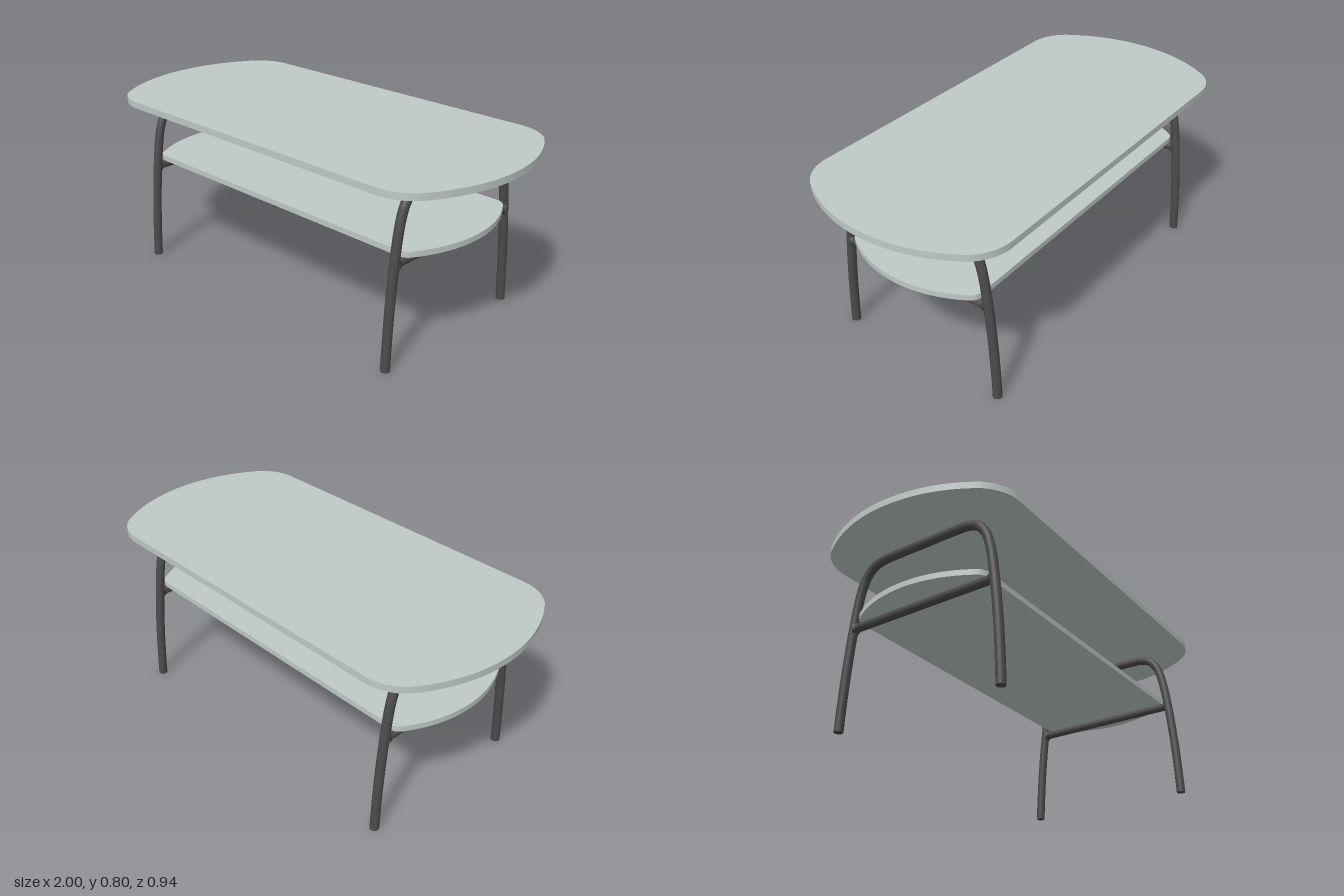
import * as THREE from 'three';
import { toCreasedNormals } from 'three/addons/utils/BufferGeometryUtils.js';

const boardMat = new THREE.MeshStandardMaterial({ color: 0xbec9c5 });
boardMat.name = 'pale grey green';
const frameMat = new THREE.MeshStandardMaterial({ color: 0x4b4b4b });
frameMat.name = 'dark grey metal';

const TUBE = 0.02;

// Board with bowed ends and rounded corners; inset shrinks the outline evenly
function board(name, inset, y, thickness) {
  const endX = 0.3, cornerX = 0.72, cornerZ = 0.272;
  const R = 0.7 - inset, r = 0.2 - inset;
  const a = Math.atan2(cornerZ, cornerX - endX);
  const s = new THREE.Shape();
  s.absarc(endX, 0, R, -a, a);
  s.absarc(cornerX, cornerZ, r, a, Math.PI / 2);
  s.absarc(-cornerX, cornerZ, r, Math.PI / 2, Math.PI - a);
  s.absarc(-endX, 0, R, Math.PI - a, Math.PI + a);
  s.absarc(-cornerX, -cornerZ, r, Math.PI + a, Math.PI * 1.5);
  s.absarc(cornerX, -cornerZ, r, Math.PI * 1.5, Math.PI * 2 - a);
  const geo = new THREE.ExtrudeGeometry(s, { depth: thickness, bevelEnabled: false, curveSegments: 20 });
  geo.rotateX(-Math.PI / 2);
  const mesh = new THREE.Mesh(toCreasedNormals(geo, 0.6), boardMat);
  mesh.position.y = y;
  mesh.name = name;
  return mesh;
}

// Bent tube hoop with a cross bar and closed feet
function legFrame(name, x) {
  const frame = new THREE.Group();
  frame.name = name;
  frame.position.x = x;

  const half = [
    [0.4, 0], [0.397, 0.07], [0.386, 0.25], [0.366, 0.45], [0.347, 0.58], [0.333, 0.64],
    [0.312, 0.69], [0.278, 0.727], [0.232, 0.744], [0.18, 0.748],
  ];
  const side = half.map(([z, y]) => new THREE.Vector3(0, y, z));
  const mirrored = side.map((p) => new THREE.Vector3(0, p.y, -p.z)).reverse();
  const path = new THREE.CatmullRomCurve3([...side, new THREE.Vector3(0, 0.748, 0), ...mirrored]);
  const hoopGeo = new THREE.TubeGeometry(path, 110, TUBE, 20);
  // Trim the feet level with the floor
  const pos = hoopGeo.attributes.position;
  for (let i = 0; i < pos.count; i++) if (pos.getY(i) < 0.004) pos.setY(i, 0);
  const hoop = new THREE.Mesh(hoopGeo, frameMat);
  hoop.name = 'legHoop';
  frame.add(hoop);

  for (const s of [-1, 1]) {
    const cap = new THREE.Mesh(new THREE.CircleGeometry(TUBE, 20), frameMat);
    cap.rotation.x = Math.PI / 2;
    cap.position.set(0, 0, s * 0.4);
    cap.name = 'footCap';
    frame.add(cap);
  }

  // Cross bar, flaring up and down where it is welded to the legs
  const profile = [
    [0.03, -0.356], [0.024, -0.349], [0.019, -0.338],
    [0.019, 0.338], [0.024, 0.349], [0.03, 0.356],
  ].map(([r, l]) => new THREE.Vector2(r, l));
  const barGeo = new THREE.LatheGeometry(profile, 20);
  barGeo.rotateX(Math.PI / 2);
  const bp = barGeo.attributes.position;
  for (let i = 0; i < bp.count; i++) bp.setX(i, THREE.MathUtils.clamp(bp.getX(i), -0.019, 0.019));
  const bar = new THREE.Mesh(barGeo, frameMat);
  bar.position.y = 0.456;
  bar.name = 'crossBar';
  frame.add(bar);
  return frame;
}

export function createModel() {
  const table = new THREE.Group();
  table.name = 'coffeeTable';
  table.add(board('tableTop', 0, 0.77, 0.03));
  table.add(board('lowerShelf', 0.142, 0.475, 0.025));
  table.add(legFrame('leftLegFrame', 0.735));
  table.add(legFrame('rightLegFrame', -0.735));
  return table;
}
